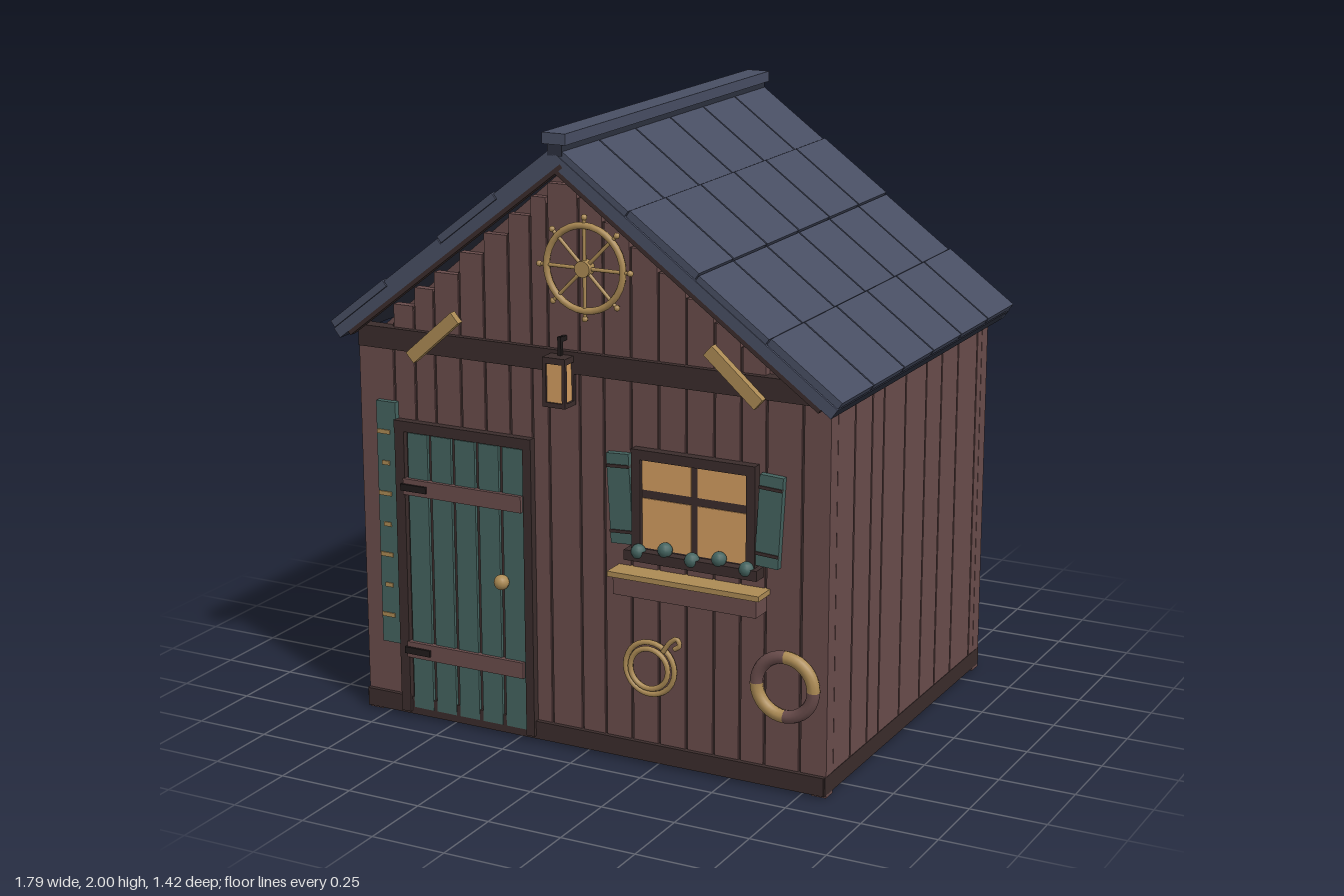
import * as THREE from 'three';

const COLORS = {
  wallWood: 0x694c4b, darkWood: 0x3a2c2b, slate: 0x484e63, darkSlate: 0x2c303e,
  teal: 0x44635f, gold: 0xab8a54, glow: 0xd29c60, iron: 0x1f1a1a,
};

export function createModel() {
  const root = new THREE.Group();
  root.name = 'seasideCabin';
  const M = {};
  for (const [name, color] of Object.entries(COLORS)) {
    M[name] = new THREE.MeshStandardMaterial({ color });
    M[name].name = name;
  }
  const group = (name, parent = root) => {
    const g = new THREE.Group();
    g.name = name;
    parent.add(g);
    return g;
  };
  const add = (parent, name, geo, mat, x = 0, y = 0, z = 0) => {
    const m = new THREE.Mesh(geo, mat);
    m.name = name;
    m.position.set(x, y, z);
    parent.add(m);
    return m;
  };
  // Box given by its limits
  const box = (parent, name, mat, x0, x1, y0, y1, z0, z1) =>
    add(parent, name, new THREE.BoxGeometry(x1 - x0, y1 - y0, z1 - z0), mat,
      (x0 + x1) / 2, (y0 + y1) / 2, (z0 + z1) / 2);

  const PEAK_X = -0.06, PEAK_Y = 1.93, FRONT = 0.63, BACK = -0.64;
  const EAVES = [{ s: -1, run: 0.815, drop: 0.63 }, { s: 1, run: 0.937, drop: 0.677 }];
  // Height of the roof's underside
  const underRoof = (x) => {
    const e = EAVES[x < PEAK_X ? 0 : 1];
    return PEAK_Y - 0.04 - Math.abs(x - PEAK_X) * e.drop / e.run;
  };

  // Core, base and corner posts
  const body = group('body');
  box(body, 'core', M.darkWood, -0.8, 0.8, 0.01, 1.25, -0.625, 0.6);
  box(body, 'baseTrim', M.darkWood, -0.828, 0.828, 0.01, 0.07, BACK, 0.645);
  for (const s of [-1, 1]) {
    for (const z of [-0.615, 0.605]) {
      add(body, 'cornerPost', new THREE.BoxGeometry(0.05, 1.25, 0.05), M.wallWood, s * 0.806, 0.625, z);
    }
  }

  // Gable plates
  const gable = new THREE.Shape([[-0.82, 1.25], [0.82, 1.25], [PEAK_X, 1.89]].map((p) => new THREE.Vector2(...p)));
  const gableGeo = new THREE.ExtrudeGeometry(gable, { depth: 0.02, bevelEnabled: false });
  add(body, 'frontGable', gableGeo, M.wallWood, 0, 0, 0.585);
  add(body, 'backGable', gableGeo, M.wallWood, 0, 0, BACK);

  // Front planks with stepped tops, and dark seams between them
  const planks = group('frontPlanks');
  const cuts = [-0.83, -0.7, -0.62, -0.545, -0.45, -0.36, -0.27, -0.19, -0.13, -0.02, 0.065,
    0.16, 0.255, 0.35, 0.445, 0.535, 0.62, 0.74, 0.83];
  for (let i = 0; i < cuts.length - 1; i++) {
    const a = cuts[i], b = cuts[i + 1];
    const top = Math.min(underRoof(a), underRoof(b)) - 0.005;
    box(planks, 'plank', M.wallWood, a + 0.004, b - 0.004, 0.02, top, 0.6, FRONT);
    if (i) {
      const seamTop = Math.min(top, underRoof(a) - 0.07);
      box(planks, 'seam', M.darkWood, a - 0.004, a + 0.004, 0.02, seamTop, 0.6, FRONT - 0.006);
    }
  }

  // Side planks
  const zCuts = [BACK, -0.55, -0.38, -0.24, -0.11, 0.06, 0.23, 0.32, 0.45, 0.58, FRONT];
  for (const s of [-1, 1]) {
    const side = group(s > 0 ? 'leftPlanks' : 'rightPlanks');
    for (let i = 0; i < zCuts.length - 1; i++) {
      const a = zCuts[i] + 0.004, b = zCuts[i + 1] - 0.004;
      add(side, 'plank', new THREE.BoxGeometry(0.03, 1.25, b - a), M.wallWood, s * 0.815, 0.645, (a + b) / 2);
      if (i) add(side, 'seam', new THREE.BoxGeometry(0.024, 1.25, 0.01), M.darkWood, s * 0.812, 0.645, zCuts[i]);
    }
    add(side, 'sideTrim', new THREE.BoxGeometry(0.03, 0.06, 1.28), M.darkWood, s * 0.817, 0.04, 0);
  }

  // Roof slopes with tiles in rows
  for (const { s, run, drop } of EAVES) {
    const slope = group(s > 0 ? 'leftRoof' : 'rightRoof');
    slope.position.set(PEAK_X, PEAK_Y, -0.005);
    slope.rotation.z = -s * Math.atan2(drop, run);
    const len = Math.hypot(run, drop), row = len / 4, col = 1.41 / 6;
    add(slope, 'roofDeck', new THREE.BoxGeometry(len, 0.034, 1.4), M.darkSlate, s * len / 2, -0.013, 0);
    for (const z of [-0.69, 0.69]) {
      add(slope, 'roofEdge', new THREE.BoxGeometry(len, 0.036, 0.03), M.slate, s * len / 2, -0.012, z);
      add(slope, 'bargeboard', new THREE.BoxGeometry(len - 0.04, 0.014, 0.03), M.darkWood, s * (len / 2 - 0.02), -0.037, z);
    }
    for (let r = 0; r < 4; r++) {
      for (let c = 0; c < 6; c++) {
        add(slope, 'roofTile', new THREE.BoxGeometry(row - 0.004, 0.024, col - 0.007), M.slate,
          s * (r + 0.5) * row, 0.014 + (r % 2) * 0.006, -0.705 + (c + 0.5) * col);
      }
    }
  }
  box(root, 'ridgeCap', M.slate, -0.1, -0.02, 1.965, 2, -0.71, 0.705);
  box(root, 'ridgeBeam', M.darkSlate, -0.085, -0.035, 1.93, 1.97, -0.705, 0.7);

  // Cross beam and braces
  box(root, 'crossBeam', M.darkWood, -0.82, 0.78, 1.245, 1.315, 0.6, 0.65);
  for (const s of [-1, 1]) {
    const brace = add(root, 'brace', new THREE.BoxGeometry(0.225, 0.042, 0.025), M.gold, s * 0.527, 1.307, 0.662);
    brace.rotation.z = -s * 0.72;
  }

  // Door
  const door = group('door');
  box(door, 'doorBack', M.darkWood, -0.68, -0.2, 0.03, 1, 0.62, 0.636);
  box(door, 'doorJamb', M.darkWood, -0.69, -0.655, 0.02, 1.015, 0.62, 0.656);
  box(door, 'doorJamb', M.darkWood, -0.215, -0.185, 0.02, 1.015, 0.62, 0.656);
  box(door, 'doorHead', M.darkWood, -0.69, -0.185, 0.98, 1.015, 0.62, 0.658);
  for (let i = 0; i < 5; i++) {
    const x = -0.652 + i * 0.088;
    box(door, 'doorPlank', M.teal, x + 0.006, x + 0.08, 0.035, 0.975, 0.63, 0.647);
  }
  for (const y of [0.24, 0.797]) {
    box(door, 'doorStrap', M.wallWood, -0.66, -0.222, y - 0.027, y + 0.027, 0.64, 0.66);
    box(door, 'hinge', M.iron, -0.665, -0.57, y - 0.012, y + 0.01, 0.65, 0.668);
  }
  add(door, 'doorKnob', new THREE.SphereGeometry(0.025, 14, 10), M.gold, -0.295, 0.53, 0.662);

  // Measuring board
  const board = group('measuringBoard');
  box(board, 'board', M.teal, -0.76, -0.688, 0.25, 1.07, 0.62, 0.65);
  for (let i = 0; i < 7; i++) {
    const long = i % 2 === 0;
    const y = 0.345 + i * 0.104;
    box(board, 'mark', M.gold, long ? -0.757 : -0.742, long ? -0.71 : -0.714, y - 0.007, y + 0.007, 0.648, 0.654);
  }

  // Window
  const win = group('window');
  box(win, 'windowFrame', M.darkWood, 0.175, 0.597, 0.7, 1.037, 0.62, 0.645);
  for (const x of [0.207, 0.397]) {
    for (const [y0, y1] of [[0.72, 0.88], [0.907, 1.003]]) box(win, 'pane', M.glow, x, x + 0.168, y0, y1, 0.64, 0.648);
  }
  for (const x of [0.175, 0.567]) box(win, 'windowJamb', M.darkWood, x, x + 0.03, 0.7, 1.037, 0.63, 0.66);
  box(win, 'windowHead', M.darkWood, 0.175, 0.597, 1.005, 1.037, 0.63, 0.662);
  box(win, 'windowSill', M.darkWood, 0.158, 0.613, 0.682, 0.715, 0.62, 0.68);
  for (const s of [-1, 1]) {
    const shutter = group('shutter', win);
    shutter.position.set(0.386 + s * 0.255, 0.868, 0.645);
    shutter.rotation.z = -s * 0.055;
    box(shutter, 'shutterPanel', M.teal, -0.039, 0.039, -0.145, 0.145, -0.012, 0.01);
    for (const y of [-0.105, 0.105]) box(shutter, 'shutterBar', M.darkWood, -0.039, 0.039, y - 0.005, y + 0.005, 0, 0.014);
  }

  // Flower box
  const planter = group('flowerBox');
  box(planter, 'planterBox', M.wallWood, 0.13, 0.622, 0.572, 0.632, 0.62, 0.7);
  box(planter, 'planterRim', M.gold, 0.115, 0.635, 0.63, 0.647, 0.62, 0.71);
  for (let i = 0; i < 5; i++) {
    add(planter, 'plant', new THREE.SphereGeometry(0.024, 12, 8), M.teal, 0.203 + i * 0.0925, i % 2 ? 0.73 : 0.712, 0.667);
  }

  // Ship wheel
  const wheel = group('shipWheel');
  wheel.position.set(0.012, 1.582, 0.65);
  add(wheel, 'wheelRim', new THREE.TorusGeometry(0.133, 0.011, 8, 32), M.gold);
  for (let i = 0; i < 8; i++) {
    const spoke = group('spoke', wheel);
    spoke.rotation.z = i * Math.PI / 4;
    add(spoke, 'spokeRod', new THREE.CylinderGeometry(0.006, 0.006, 0.16, 8), M.gold, 0, 0.08, 0);
    add(spoke, 'spokeHandle', new THREE.SphereGeometry(0.01, 8, 6), M.gold, 0, 0.158, 0);
  }
  add(wheel, 'wheelHub', new THREE.CylinderGeometry(0.026, 0.026, 0.035, 16), M.gold).rotation.x = Math.PI / 2;

  // Lantern
  const lamp = group('lantern');
  box(lamp, 'lampGlass', M.glow, -0.102, -0.038, 1.155, 1.285, 0.642, 0.697);
  box(lamp, 'lampTop', M.darkWood, -0.11, -0.03, 1.283, 1.303, 0.636, 0.704);
  box(lamp, 'lampBottom', M.darkWood, -0.11, -0.03, 1.145, 1.16, 0.636, 0.704);
  for (const x of [-0.104, -0.036]) {
    for (const z of [0.642, 0.698]) box(lamp, 'lampBar', M.darkWood, x - 0.006, x + 0.006, 1.15, 1.29, z - 0.006, z + 0.006);
  }
  box(lamp, 'lampHook', M.iron, -0.076, -0.064, 1.3, 1.362, 0.654, 0.668);
  box(lamp, 'lampArm', M.iron, -0.076, -0.064, 1.345, 1.36, 0.62, 0.668);

  // Coiled rope
  const rope = group('ropeCoil');
  rope.position.set(0.23, 0.325, 0.645);
  for (const [r, z] of [[0.086, 0], [0.066, 0.006]]) {
    add(rope, 'ropeLoop', new THREE.TorusGeometry(r, 0.009, 8, 28), M.gold, 0, 0, z);
  }
  const tail = new THREE.CatmullRomCurve3([[0.05, 0.065], [0.075, 0.1], [0.1, 0.115], [0.108, 0.095], [0.09, 0.08]]
    .map(([x, y]) => new THREE.Vector3(x, y, 0.008)));
  add(rope, 'ropeTail', new THREE.TubeGeometry(tail, 16, 0.008, 8), M.gold);

  // Life ring in alternating quarters
  const ring = group('lifeRing');
  ring.position.set(0.7, 0.35, 0.655);
  for (let i = 0; i < 4; i++) {
    const quarter = add(ring, 'ringQuarter', new THREE.TorusGeometry(0.096, 0.021, 10, 10, Math.PI / 2),
      i % 2 ? M.wallWood : M.gold);
    quarter.rotation.z = i * Math.PI / 2;
  }
  return root;
}
